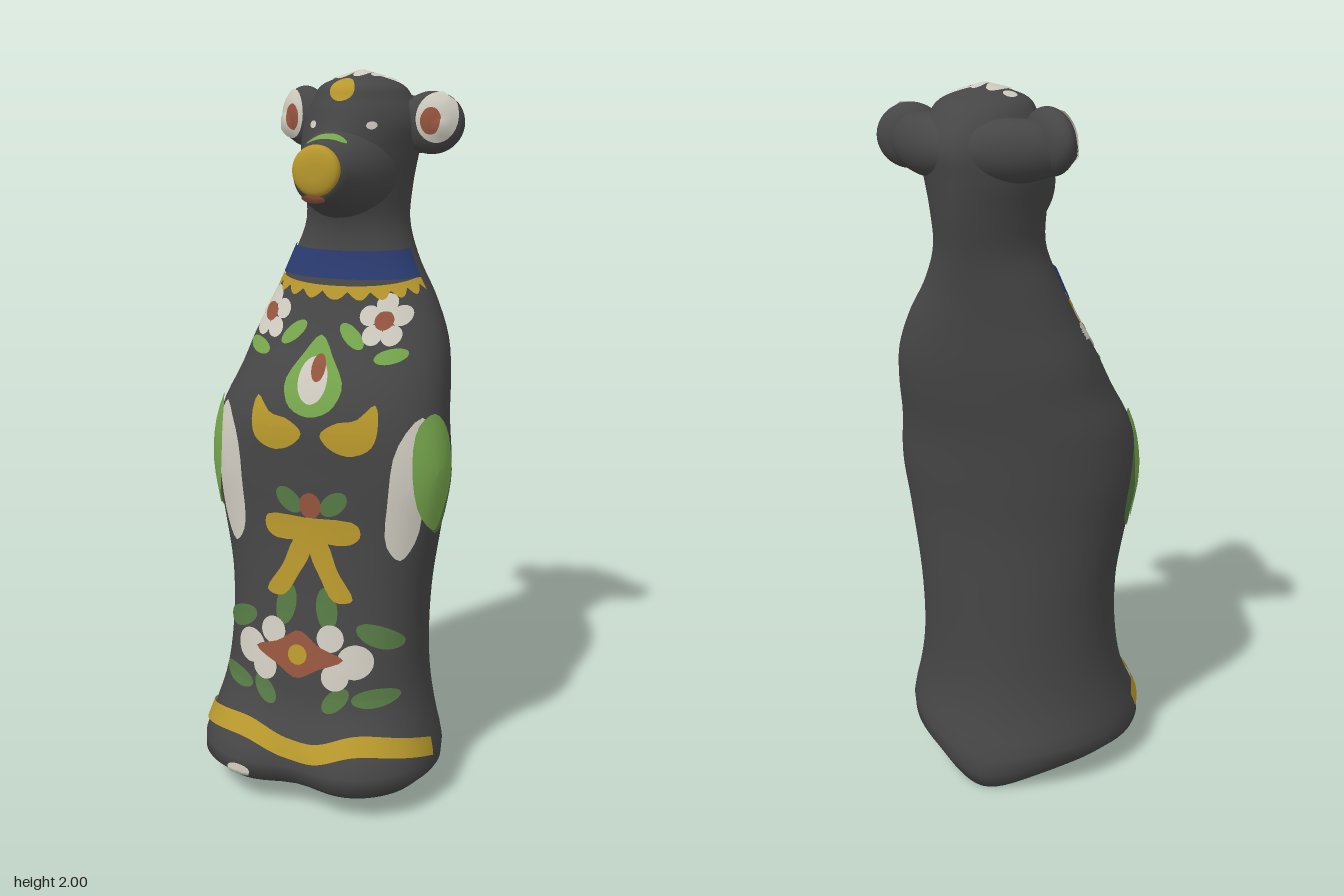
import * as THREE from 'three';

const mat = (name, color, side = THREE.DoubleSide) => {
  const m = new THREE.MeshStandardMaterial({ color, side });
  m.name = name;
  return m;
};

const table = rows => new THREE.CubicInterpolant(rows.map(r => r[0]), rows.flatMap(r => r.slice(1)), rows[0].length - 1);

// Outline by height: y, centre x, half width, front z, back z
const outlineAt = table([
  [0.07, 0, 0.305, 0.325, -0.245], [0.11, 0, 0.345, 0.365, -0.268], [0.16, 0, 0.342, 0.355, -0.255],
  [0.22, 0, 0.325, 0.318, -0.23], [0.3, 0, 0.305, 0.265, -0.212], [0.4, 0, 0.29, 0.245, -0.205],
  [0.6, 0, 0.29, 0.21, -0.205], [0.8, 0, 0.32, 0.19, -0.21], [0.95, 0, 0.342, 0.19, -0.225],
  [1.1, 0, 0.325, 0.185, -0.242], [1.2, 0.015, 0.3, 0.15, -0.26], [1.3, 0.02, 0.275, 0.095, -0.275],
  [1.4, 0.02, 0.23, 0.05, -0.285], [1.5, 0.01, 0.18, 0.018, -0.296], [1.6, 0.01, 0.145, 0.01, -0.312],
  [1.7, 0.01, 0.15, 0.045, -0.335], [1.8, 0.01, 0.168, 0.05, -0.35], [1.87, 0.02, 0.165, 0.025, -0.352],
  [1.93, 0.02, 0.135, 0, -0.315], [1.97, 0.02, 0.098, -0.03, -0.26], [2, 0.02, 0.004, -0.14, -0.15],
]);
// Section shape by height: y, z of the widest point, squareness of front and back
const shapeAt = table([
  [0.07, 0.08, 2.4, 1.75], [0.3, 0.04, 2.4, 1.9], [0.6, 0.02, 2.4, 2.1], [1, 0.025, 2.4, 2.1],
  [1.3, -0.07, 2.2, 2.1], [1.5, -0.13, 2.1, 1.9], [1.8, -0.16, 1.6, 1.6], [2, -0.145, 2, 2],
]);
const clamp = THREE.MathUtils.clamp;

// Point on the body at height y and angle t (front is PI/2)
function surf(y, t, grow = 0, scale = 1) {
  const [cx, w, zf, zb] = outlineAt.evaluate(y), [zc, pf, pb] = shapeAt.evaluate(y);
  const front = Math.sin(t) > 0;
  const pw = v => Math.sign(v) * Math.pow(Math.abs(v), 2 / (front ? pf : pb));
  const x = cx + (w + grow) * pw(Math.cos(t)) * scale;
  let z = zc + ((front ? zf - zc : zc - zb) + grow) * pw(Math.sin(t)) * scale;
  // dip between the feet, and a low lobe at the back of the base
  if (z > 0) z -= 0.062 * clamp(1 - y / 0.32, 0, 1) * Math.exp(-((x / 0.11) ** 2)) * clamp(z * 5, 0, 1);
  const drop = 0.062 * Math.exp(-((x / 0.14) ** 2)) * clamp(-z * 6, 0, 1) * clamp(1 - (y - 0.07) / 0.2, 0, 1);
  return [x, y - drop, z];
}

// Surface from a grid of rows; wrap closes each row
function grid(rows, wrap) {
  const n = rows[0].length, idx = [];
  for (let i = 0; i < rows.length - 1; i++)
    for (let j = 0; j < (wrap ? n : n - 1); j++) {
      const k = (j + 1) % n, a = i * n + j, b = i * n + k, c = a + n, d = b + n;
      idx.push(a, c, d, a, d, b);
    }
  const g = new THREE.BufferGeometry();
  g.setAttribute('position', new THREE.Float32BufferAttribute(rows.flat(2), 3));
  g.setIndex(idx);
  g.computeVertexNormals();
  return g;
}

const oval = (cx, cy, rx, ry = rx, rot = 0) => Array.from({ length: 12 }, (_, i) => {
  const a = i / 12 * Math.PI * 2, x = rx * Math.cos(a), y = ry * Math.sin(a);
  return [cx + x * Math.cos(rot) - y * Math.sin(rot), cy + x * Math.sin(rot) + y * Math.cos(rot)];
});

export function createModel() {
  const group = new THREE.Group();
  const dark = mat('charcoal', 0x464646, THREE.FrontSide), gold = mat('gold', 0xb8982c);
  const green = mat('light green', 0x76a64c), moss = mat('moss green', 0x567a45);
  const white = mat('off white', 0xcfcbc0), red = mat('brick red', 0x95553f), blue = mat('navy blue', 0x2a3b70);

  const add = (name, geo, m) => {
    const mesh = new THREE.Mesh(geo, m);
    mesh.name = name;
    group.add(mesh);
    return mesh;
  };

  // Body, neck and skull in one loft
  const SEG = 72;
  const ring = (y, s) => Array.from({ length: SEG }, (_, j) => surf(y, j / SEG * Math.PI * 2, 0, s));
  const rows = [0, 0.3, 0.6, 0.88].map(s => ring(0.07, s));
  for (let i = 0; i <= 80; i++) rows.push(ring(0.07 + 1.93 * Math.sin(i / 80 * Math.PI / 2), 1));
  const solids = [add('body', grid(rows, true), dark)];

  // Snout and nose, turned around the z axis
  const turned = pts => new THREE.LatheGeometry(
    new THREE.SplineCurve(pts.map(p => new THREE.Vector2(...p))).getPoints(24), 36).rotateX(Math.PI / 2);
  solids.push(add('snout', turned([[0.14, -0.14], [0.135, -0.06], [0.122, 0], [0.104, 0.05], [0.084, 0.1], [0.07, 0.135], [0.05, 0.152], [0, 0.157]])
    .translate(0.01, 1.738, 0), dark));
  add('nose', turned([[0.06, 0.125], [0.067, 0.14], [0.06, 0.157], [0.035, 0.166], [0, 0.168]]).translate(0.008, 1.752, 0), gold);

  // Ears: a thin round lobe on a long root that runs into the back of the skull
  for (const [name, x, y, z, turn, rx, lean] of [['rightEar', -0.17, 1.878, -0.195, -0.65, 0.1, 0.45], ['leftEar', 0.215, 1.866, -0.165, 0.4, 0.088, -0.65]]) {
    const lobe = new THREE.SphereGeometry(1, 32, 24).scale(rx, 0.083, 0.048).rotateY(turn).translate(x, y, z);
    solids.push(add(name, lobe, dark));
    const root = new THREE.SphereGeometry(1, 32, 24).scale(0.165, 0.078, 0.07).rotateY(-lean)
      .rotateY(2 * lean).translate((x + 0.02) / 2 + Math.sign(x) * 0.015, 1.858, (z - 0.3) / 2);
    solids.push(add(name + 'Root', root, dark));
  }

  // Painted patch: an outline in a view plane, laid onto the solids
  group.updateMatrixWorld(true);
  const ray = new THREE.Raycaster();
  function paint(name, m, outline, layer = 1, az = 0, top = false) {
    const out = top ? new THREE.Vector3(0, 1, 0) : new THREE.Vector3(Math.sin(az), 0, Math.cos(az));
    const right = top ? new THREE.Vector3(1, 0, 0) : new THREE.Vector3(Math.cos(az), 0, -Math.sin(az));
    const up = top ? new THREE.Vector3(0, 0, 1) : new THREE.Vector3(0, 1, 0);
    const hit = (u, v) => {
      ray.set(new THREE.Vector3().addScaledVector(right, u).addScaledVector(up, v).addScaledVector(out, 3), out.clone().negate());
      const h = ray.intersectObjects(solids, false)[0];
      return h && h.point.addScaledVector(h.face.normal, 0.0045 * layer).toArray();
    };
    const curve = new THREE.CatmullRomCurve3(outline.map(p => new THREE.Vector3(p[0], p[1], 0)), true);
    const edge = curve.getPoints(26).slice(0, -1);
    const c = edge.reduce((a, p) => a.add(p), new THREE.Vector3()).divideScalar(edge.length);
    const patch = [0, 0.25, 0.5, 0.75, 1].map(f => edge.map(p => {
      for (let k = f; k >= 0; k -= 0.05) {
        const q = hit(c.x + (p.x - c.x) * k, c.y + (p.y - c.y) * k);
        if (q) return q;
      }
      return hit(c.x, c.y);
    }));
    add(name, grid(patch, true), m);
  }

  // Painted band running around the front between two height rules
  const band = (name, m, t0, low, high, grow) => {
    const n = 96;
    add(name, grid([0, 0.33, 0.67, 1].map(f => Array.from({ length: n + 1 }, (_, j) => {
      const t = t0 + (Math.PI - 2 * t0) * j / n;
      return surf(low(t) + (high(t) - low(t)) * f, t, grow);
    })), false), m);
  };
  band('collar', blue, 0.17, () => 1.46, () => 1.534, 0.006);
  const sag = t => 1.462 - 0.026 * Math.sin(t);
  band('beadTrim', gold, 0.17, t => sag(t) - 0.008 - 0.022 * Math.abs(Math.sin(t * 11)), t => sag(t) + 0.006, 0.005);
  const hem = t => 0.15 + 0.085 * Math.sin(t) ** 0.6 - 0.045 * Math.exp(-(((t - 1.5) / 0.3) ** 2));
  band('hemStripe', gold, 0.12, t => hem(t) - 0.022, t => hem(t) + 0.026, 0.006);

  // Face
  for (const [x, ex, ey] of [[-0.062, -0.198, 1.885], [0.1, 0.237, 1.88]]) {
    const s = Math.sign(x);
    paint('eye', white, oval(x, 1.862, 0.012, 0.01));
    paint('earRim', white, oval(ex, ey, 0.05, 0.064));
    paint('innerEar', red, oval(ex - s * 0.012, ey - 0.008, 0.025, 0.034), 1.8);
  }
  paint('foreheadSpot', gold, oval(0.016, 1.95, 0.034, 0.028));
  paint('snoutSpot', green, oval(0.008, 0.072, 0.055, 0.016), 1, 0, true);
  paint('mouth', red, oval(0, 1.683, 0.035, 0.01));
  for (const [x, z, rx, rz] of [[-0.055, -0.165, 0.016, 0.025], [-0.011, -0.125, 0.022, 0.066], [0.03, -0.13, 0.019, 0.06],
    [0.067, -0.147, 0.017, 0.043], [0.1, -0.163, 0.013, 0.024]])
    paint('crownStreak', white, oval(x, z, rx, rz), 1, 0, true);

  for (const [s, fx] of [[-1, -0.175], [1, 0.162]]) {
    // Chest flowers and leaves
    for (let i = 0; i < 5; i++) {
      const a = Math.PI / 2 + i * Math.PI * 0.4;
      paint('chestPetal', white, oval(fx + 0.041 * Math.cos(a), 1.355 + 0.044 * Math.sin(a), 0.026));
    }
    paint('chestFlowerCentre', red, oval(fx, 1.355, 0.024), 1.8);
    paint('chestLeaf', green, oval(s * 0.085, 1.315, 0.045, 0.02, -s * 0.7));
    paint('chestLeaf', green, oval(s * 0.195, 1.268, 0.042, 0.019, s * 0.2));

    // Paws and arms
    const ox = s > 0 ? 0.018 : 0;
    const mirrored = pts => pts.map(([x, y]) => [s * x + ox, y]);
    paint('paw', gold, mirrored([[0.16, 1.15], [0.172, 1.08], [0.155, 1.035], [0.1, 1.013], [0.045, 1.03], [0.018, 1.065], [0.06, 1.098], [0.115, 1.11]]));
    paint('forearm', white, mirrored([[0.27, 1.115], [0.222, 1.04], [0.203, 0.9], [0.198, 0.77], [0.23, 0.725], [0.265, 0.78], [0.287, 0.92], [0.295, 1.06]]), 1.6);
    const arm = [[0.1, 1.12], [0.045, 1.09], [0.02, 0.98], [0.045, 0.85], [0.1, 0.8], [0.135, 0.88], [0.155, 0.98], [0.145, 1.07]];
    paint('upperArm', green, arm.map(([x, y]) => [s * x, y]), 1.9, s * Math.PI / 3);
    paint('upperArmShade', moss, oval(s * 0.115, 0.92, 0.058, 0.135), 1.1, s * Math.PI / 3);

    // Belly leaves, stems, bow tails and petals
    paint('bowLeaf', moss, oval(0.01 + s * 0.065, 0.875, 0.045, 0.028, s * 0.7));
    paint('stem', moss, oval(0.005 + s * 0.06, 0.58, 0.03, 0.06, s * 0.15));
    paint('upperLeaf', moss, oval(s * 0.205, 0.51, 0.062, 0.029, -s * 0.45));
    paint('lowerLeaf', moss, oval(s * 0.205, 0.34, 0.058, 0.026, s * 0.12));
    paint('innerLeaf', moss, oval(s * 0.105, 0.33, 0.045, 0.026, s * 0.8));
    paint('bowTail', gold, [[0, 0.79], [0.045, 0.77], [0.08, 0.69], [0.125, 0.61], [0.075, 0.603], [0.03, 0.67], [0, 0.73]]
      .map(([x, y]) => [0.01 + s * x, y]), 1.2);
    for (const [px, py, r] of [[0.155, 0.44, 0.048], [0.085, 0.5, 0.038], [0.105, 0.395, 0.038]])
      paint('bellyPetal', white, oval(s * px - 0.005, py, r), 1.2);
  }

  // Teardrop
  paint('teardrop', green, [[0, 1.315], [0.045, 1.26], [0.085, 1.19], [0.06, 1.13], [0, 1.108], [-0.06, 1.13], [-0.082, 1.19], [-0.045, 1.26]]);
  paint('teardropInner', white, oval(0, 1.2, 0.042, 0.06), 1.6);
  paint('teardropSeed', red, oval(0.012, 1.232, 0.02, 0.035), 2.1);

  // Bow and belly flower
  paint('bowKnot', red, oval(0.008, 0.865, 0.032, 0.036), 1.3);
  paint('bowBar', gold, [[-0.12, 0.825], [0, 0.83], [0.14, 0.825], [0.15, 0.79], [0.12, 0.765], [0, 0.765], [-0.1, 0.765], [-0.125, 0.79]], 1.5);
  paint('bellyFlower', red, [[-0.14, 0.445], [-0.07, 0.475], [-0.01, 0.512], [0.05, 0.475], [0.12, 0.445], [0.05, 0.41], [-0.01, 0.38], [-0.07, 0.41]], 1.7);
  paint('bellyFlowerCentre', gold, oval(-0.01, 0.445, 0.028), 2.1);
  paint('footSpot', white, oval(-0.15, 0.115, 0.036, 0.018));

  return group;
}
